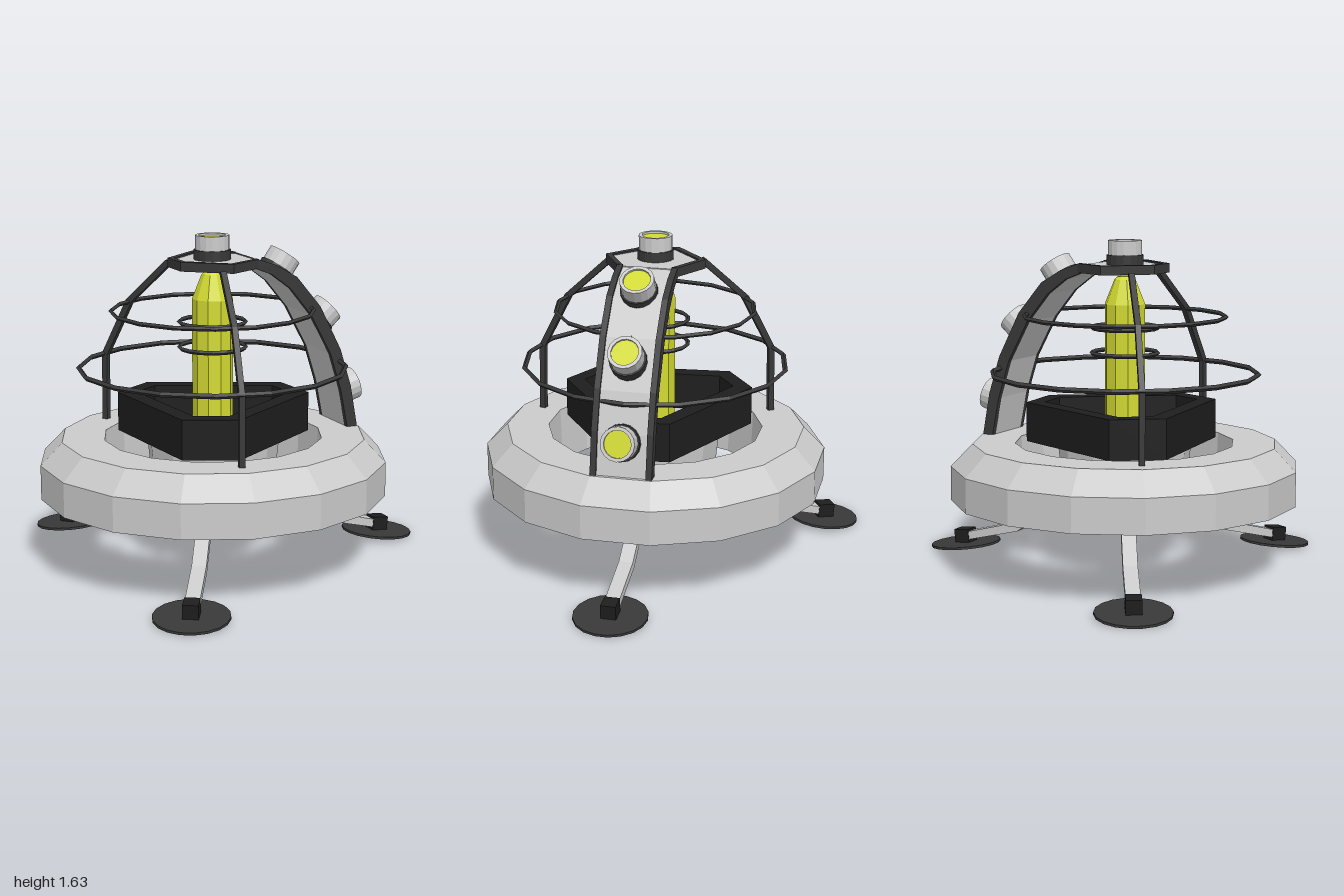
import * as THREE from 'three';

const mat = (color) => new THREE.MeshStandardMaterial({ color, flatShading: true });

export function createModel() {
  const light = mat(0xcccccc), dark = mat(0x383838), black = mat(0x1e1e1e), yellow = mat(0xd2da32);
  const model = new THREE.Group();
  model.name = 'lander';
  const craft = new THREE.Group();
  craft.name = 'craft';
  craft.position.x = -0.135;
  model.add(craft);

  const add = (parent, name, geo, material, x = 0, y = 0, z = 0) => {
    const m = new THREE.Mesh(geo, material);
    m.name = name;
    m.position.set(x, y, z);
    parent.add(m);
    return m;
  };
  const shapeOf = (pts) => new THREE.Shape(pts.map((p) => new THREE.Vector2(...p)));
  const extrude = (shape, depth) => new THREE.ExtrudeGeometry(shape, { depth, bevelEnabled: false });
  // side profile in x-y, centred on z
  const profile = (pts, width) => extrude(shapeOf(pts), width).translate(0, 0, -width / 2);
  // floor plan extruded upwards
  const plan = (shape, depth) => extrude(shape, depth).rotateX(-Math.PI / 2);
  const cyl = (rTop, rBottom, h, n) => new THREE.CylinderGeometry(rTop, rBottom, h, n);
  const lathe = (pts, n) => new THREE.LatheGeometry(pts.map((p) => new THREE.Vector2(...p)), n);
  const spoke = (name, degrees) => {
    const g = new THREE.Group();
    g.name = name;
    g.rotation.y = THREE.MathUtils.degToRad(degrees);
    craft.add(g);
    return g;
  };

  // bevelled main ring
  const hull = lathe([[0.53, 0.36], [0.857, 0.36], [0.857, 0.53], [0.75, 0.64], [0.54, 0.64], [0.53, 0.36]], 16);
  add(craft, 'hullRing', hull.rotateY(Math.PI / 16), light);

  // central drum and engine underneath
  add(craft, 'drum', cyl(0.33, 0.3, 0.28, 12), light, 0, 0.5);
  add(craft, 'engineCollar', cyl(0.27, 0.22, 0.05, 16), black, 0, 0.34);
  add(craft, 'engineGlow', cyl(0.18, 0.18, 0.02, 16), yellow, 0, 0.317);

  // truncated triangular wall around the core
  const corners = (r, half) => [0, 120, 240].flatMap((a) => [-half, half].map((h) => {
    const t = THREE.MathUtils.degToRad(a + h + 5);
    return [r * Math.cos(t), r * Math.sin(t)];
  }));
  const wall = shapeOf(corners(0.49, 16));
  wall.holes.push(new THREE.Path(corners(0.4, 12).map((p) => new THREE.Vector2(...p))));
  add(craft, 'coreWall', plan(wall, 0.195), black, 0, 0.63);

  // glowing core rod
  add(craft, 'coreRod', lathe([[0.1, 0.6], [0.1, 1.32], [0.052, 1.44], [0.035, 1.455], [0, 1.455]], 10), yellow);

  // hoops: [name, y, radius, tube]
  for (const [name, y, r, t] of [
    ['lowerCoreHoop', 1.08, 0.163, 0.011], ['upperCoreHoop', 1.205, 0.163, 0.011],
    ['upperCageHoop', 1.26, 0.495, 0.011], ['lowerCageHoop', 0.98, 0.655, 0.013],
  ]) {
    add(craft, name, new THREE.TorusGeometry(r, t, 4, 16).rotateX(Math.PI / 2), dark, 0, y);
  }

  // two slim cage ribs
  const rib = [[0.655, 0.63], [0.65, 0.985], [0.5, 1.27], [0.26, 1.49],
    [0.225, 1.48], [0.468, 1.26], [0.62, 0.975], [0.625, 0.63]];
  for (const a of [124.5, -102]) add(spoke('cageRibGroup', a), 'cageRib', profile(rib, 0.028), dark);

  // broad lamp arch: panel with a rail along each edge
  const outer = [[0.175, 1.52], [0.275, 1.485], [0.385, 1.42], [0.515, 1.265], [0.63, 1.04], [0.69, 0.85], [0.73, 0.63]];
  const inner = [[0.675, 0.63], [0.635, 0.83], [0.575, 1.02], [0.465, 1.225], [0.35, 1.365], [0.25, 1.44], [0.16, 1.475]];
  const shrunk = outer.map(([x, y]) => [x - 0.008, y - 0.008]);
  add(craft, 'archPanel', profile([...shrunk, ...inner], 0.245), light);
  for (const s of [-1, 1]) add(craft, 'archRail', profile([...outer, ...inner], 0.03), dark, 0, 0, s * 0.135);

  // roof plate with an open rim joining the arch
  const rim = [[0.18, 0.15], [0, 0.25], [-0.2, 0.08]];
  const lip = [[0.18, 0.12], [0.005, 0.217], [-0.172, 0.062]];
  const mirror = (pts) => [...pts, ...pts.map(([x, y]) => [x, -y]).reverse()];
  add(craft, 'roofRim', plan(shapeOf([...mirror(rim), ...mirror(lip).reverse()]), 0.045), dark, 0, 1.475);
  add(craft, 'roofPlate', plan(shapeOf(mirror(lip)), 0.034), light, 0, 1.478);

  // lamps: face centre and tilt from vertical
  const housing = lathe([[0.083, -0.08], [0.083, 0], [0.066, 0], [0.066, -0.015]], 16);
  for (const [x, y, tilt] of [[0, 1.63, 0], [0.393, 1.51, 0.61], [0.635, 1.23, 0.84], [0.785, 0.83, 1.29]]) {
    const lamp = new THREE.Group();
    lamp.name = 'lamp';
    lamp.position.set(x, y, 0);
    lamp.rotation.z = -tilt;
    craft.add(lamp);
    add(lamp, 'lampHousing', housing, light);
    add(lamp, 'lampBase', cyl(0.09, 0.09, 0.06, 16), dark, 0, -0.1);
    add(lamp, 'lampGlow', cyl(0.066, 0.066, 0.05, 16), yellow, 0, -0.035);
  }

  // three legs with tilted foot pads
  const strut = [[0.27, 0.36], [0.35, 0.355], [0.63, 0.165], [0.93, 0.085], [0.92, 0.045], [0.605, 0.125], [0.32, 0.315], [0.27, 0.32]];
  for (const a of [0, 120, 240]) {
    const leg = spoke('leg', a);
    add(leg, 'strut', profile(strut.reverse(), 0.07), light);
    strut.reverse();
    add(leg, 'hip', new THREE.BoxGeometry(0.07, 0.05, 0.085), black, 0.295, 0.337);
    const foot = new THREE.Group();
    foot.name = 'foot';
    foot.position.set(0.935, 0.026, 0);
    foot.rotation.z = -0.09;
    leg.add(foot);
    add(foot, 'pad', cyl(0.18, 0.18, 0.012, 18), dark);
    add(foot, 'sole', cyl(0.15, 0.15, 0.004, 18), mat(0x777777), 0, -0.007);
    add(foot, 'ankle', new THREE.BoxGeometry(0.085, 0.07, 0.075), black, 0, 0.04);
  }
  return model;
}
